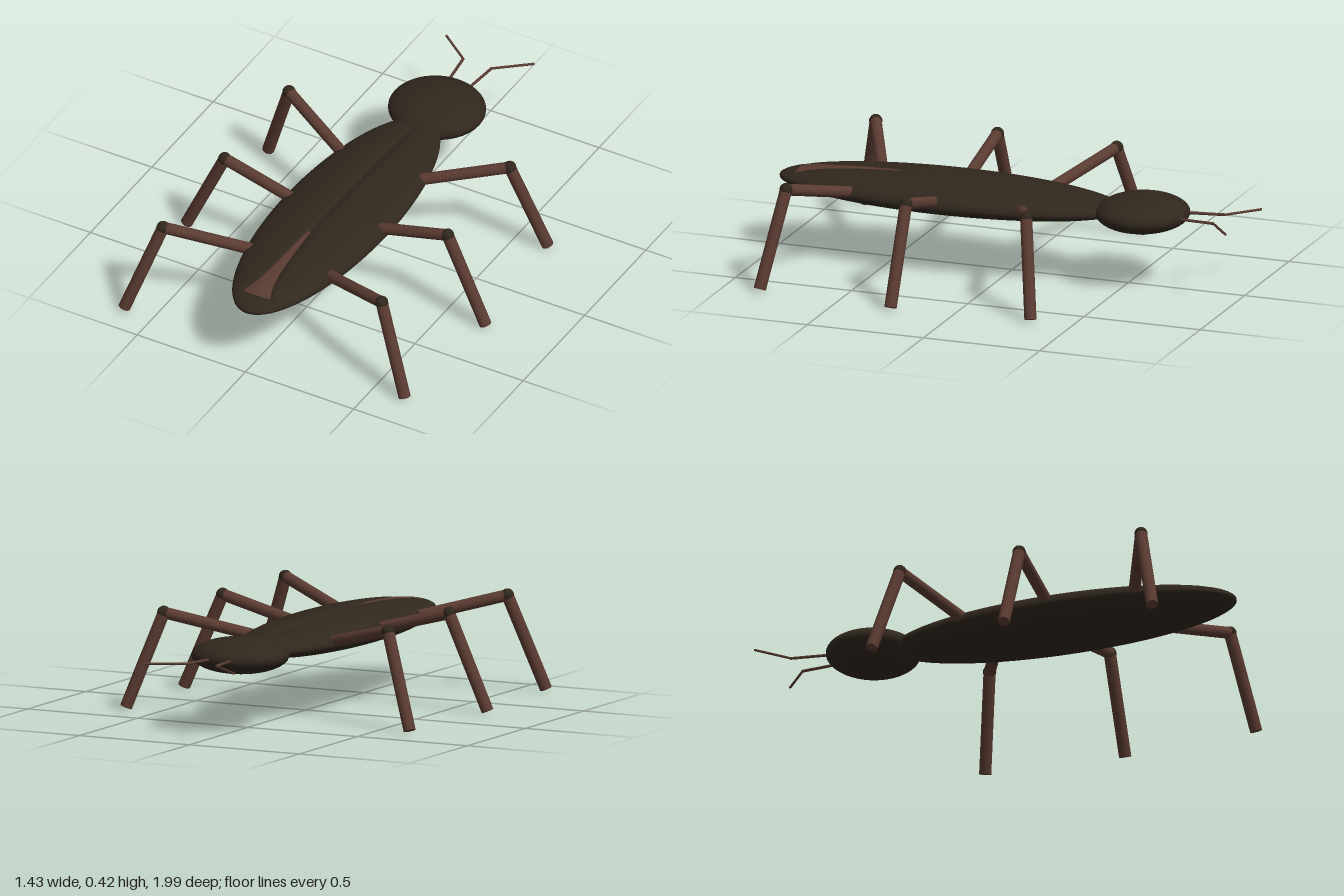
import * as THREE from 'three';
import { ParametricGeometry } from 'three/addons/geometries/ParametricGeometry.js';

const MID_Y = 0.3, MID_Z = 0.26, HALF_W = 0.24, HALF_L = 0.735;

export function createModel() {
  const model = new THREE.Group();
  const shell = new THREE.MeshStandardMaterial({ color: 0x30271d, side: THREE.DoubleSide });
  const brown = new THREE.MeshStandardMaterial({ color: 0x5a3b31, side: THREE.DoubleSide });

  const add = (name, geometry, material, parent = model) => {
    const mesh = new THREE.Mesh(geometry, material);
    mesh.name = name;
    parent.add(mesh);
    return mesh;
  };

  // Cylinder running between two points
  const rod = (name, a, b, r, material, parent, sides = 16) => {
    const dir = b.clone().sub(a);
    const mesh = add(name, new THREE.CylinderGeometry(r, r, dir.length(), sides), material, parent);
    mesh.position.copy(a).add(b).multiplyScalar(0.5);
    mesh.quaternion.setFromUnitVectors(new THREE.Vector3(0, 1, 0), dir.normalize());
  };

  // Flattened body
  const bodyGeo = new THREE.SphereGeometry(1, 48, 32);
  bodyGeo.rotateX(Math.PI / 2);
  bodyGeo.scale(HALF_W - 0.003, 0.064, HALF_L);
  add('body', bodyGeo, shell).position.set(0, MID_Y - 0.004, MID_Z);

  // Head
  const headGeo = new THREE.SphereGeometry(1, 40, 28);
  headGeo.scale(0.2, 0.072, 0.19);
  add('head', headGeo, shell).position.set(0, 0.303, -0.562);

  // Half width of the body at z, and of the opening between the wing covers
  const halfWidth = z => HALF_W * Math.sqrt(Math.max(0, 1 - ((z - MID_Z) / HALF_L) ** 2));
  const opening = z => {
    const t = THREE.MathUtils.clamp((z - 0.46) / 0.45, 0, 1);
    return 0.003 + 0.024 * t + 0.03 * t ** 6;
  };
  const height = (x, z, h) =>
    MID_Y + h * Math.sqrt(Math.max(0, 1 - (x / HALF_W) ** 2 - ((z - MID_Z) / HALF_L) ** 2));

  // Wing covers, dipping towards the seam
  for (const s of [1, -1]) {
    const cover = new ParametricGeometry((u, v, p) => {
      const z = MID_Z - HALF_L * Math.cos(Math.PI * v);
      const w = halfWidth(z);
      const seam = z > 0.92 ? 0 : Math.min(opening(z), w);
      const x = seam + (w - seam) * (1 - Math.cos(u * Math.PI)) / 2;
      const dip = 0.012 * Math.exp(-(x - seam) / 0.012) * Math.min(1, w / 0.12);
      p.set(s * x, height(x, z, 0.07) - (z > 0.92 ? 0 : dip), z);
    }, 24, 64);
    if (s < 0) {
      const i = cover.index.array;
      for (let k = 0; k < i.length; k += 3) [i[k], i[k + 1]] = [i[k + 1], i[k]];
    }
    cover.computeVertexNormals();
    // Keep the normals facing out of the shell
    const n = cover.attributes.normal;
    let sum = 0;
    for (let k = 0; k < n.count; k++) sum += n.getY(k);
    if (sum < 0) {
      cover.index.array.reverse();
      cover.computeVertexNormals();
    }
    add(s > 0 ? 'leftWingCover' : 'rightWingCover', cover, shell);
  }

  // Brown back showing between the parted covers
  const strip = new ParametricGeometry((u, v, p) => {
    const z = 0.48 + 0.435 * v;
    const x = (1 - 2 * u) * (opening(z) + 0.003);
    p.set(x, height(x, z, 0.0675), z + 0.008 * (1 - (1 - 2 * u) ** 2) * v - 0.008 * v);
  }, 10, 30);
  strip.computeVertexNormals();
  if (strip.attributes.normal.getY(100) < 0) {
    strip.index.array.reverse();
    strip.computeVertexNormals();
  }
  add('exposedBack', strip, brown);

  // Legs: hip z, knee and foot
  const legs = [
    ['front', -0.09, [0.51, -0.255], [0.645, -0.325]],
    ['middle', 0.26, [0.515, 0.26], [0.69, 0.26]],
    ['rear', 0.61, [0.505, 0.78], [0.645, 0.84]],
  ];
  for (const s of [1, -1]) {
    const side = s > 0 ? 'Left' : 'Right';
    for (const [name, hipZ, knee, foot] of legs) {
      const leg = new THREE.Group();
      leg.name = `${name}${side}Leg`;
      model.add(leg);
      // The right rear foot reaches a little further back
      const back = name === 'rear' && s < 0;
      const hip = new THREE.Vector3(s * 0.14, 0.297, hipZ);
      const bend = new THREE.Vector3(s * knee[0], 0.395, knee[1]);
      const tip = new THREE.Vector3(s * (back ? 0.63 : foot[0]), 0.01, back ? 0.875 : foot[1]);
      rod('upperLeg', hip, bend, 0.024, brown, leg);
      rod('lowerLeg', bend, tip, 0.025, brown, leg);
      add('knee', new THREE.SphereGeometry(0.027, 16, 12), shell, leg).position.copy(bend);
    }

    // Bent antennae
    const antenna = new THREE.Group();
    antenna.name = `antenna${side}`;
    model.add(antenna);
    const elbow = new THREE.Vector3(s * 0.065, 0.309, -0.89);
    rod('antennaBase', new THREE.Vector3(s * 0.044, 0.305, -0.7), elbow, 0.006, brown, antenna, 8);
    rod('antennaTip', elbow, new THREE.Vector3(s * 0.203, 0.309 + s * 0.005, -0.996), 0.005, brown, antenna, 8);
    add('antennaJoint', new THREE.SphereGeometry(0.006, 8, 6), brown, antenna).position.copy(elbow);
  }
  return model;
}
